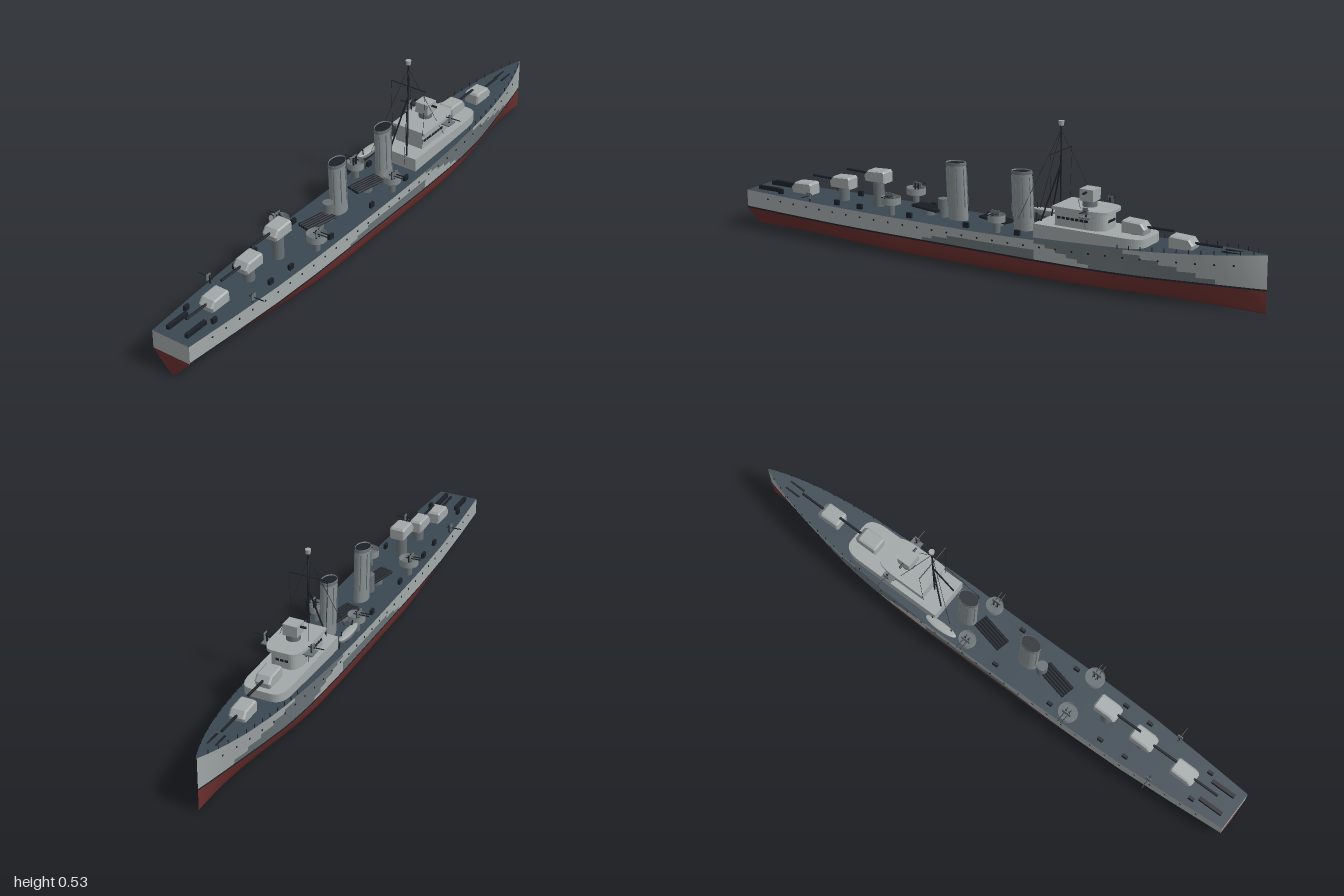
import * as THREE from 'three';
import { mergeVertices } from 'three/addons/utils/BufferGeometryUtils.js';

const paint = (name, color, side = THREE.FrontSide) => {
  const m = new THREE.MeshStandardMaterial({ color, side });
  m.name = name;
  return m;
};
const V = (x, y, z) => new THREE.Vector3(x, y, z);
const mix = THREE.MathUtils.lerp;
const smooth = THREE.MathUtils.smoothstep;

// Half breadth of the deck and its sheer, along z (bow at -1)
const PLAN = [[-1, 0.002], [-0.95, 0.022], [-0.88, 0.043], [-0.8, 0.062], [-0.7, 0.078], [-0.6, 0.089],
  [-0.4, 0.1], [-0.2, 0.105], [0.4, 0.105], [0.6, 0.1], [0.8, 0.088], [1, 0.073]];
function breadth(z) {
  const i = Math.max(1, PLAN.findIndex(p => p[0] >= z));
  const [a, b] = [PLAN[i - 1], PLAN[i]];
  return mix(a[1], b[1], (z - a[0]) / (b[0] - a[0]));
}
const deckY = z => 0.14 + 0.052 * Math.pow(Math.max(0, 0.05 - z) / 1.05, 1.6);

export function createModel() {
  const light = paint('lightGrey', 0xa2a8a8);
  const mid = paint('midGrey', 0x687175);
  const deck = paint('deckBlueGrey', 0x3a4751);
  const red = paint('bottomRed', 0x6a302e);
  const dark = paint('nearBlack', 0x1c2128, THREE.DoubleSide);
  const steel = paint('funnelGrey', 0x868e90, THREE.DoubleSide);

  const ship = new THREE.Group();
  ship.name = 'warship';
  const add = (name, geo, mat, x = 0, y = 0, z = 0, parent = ship) => {
    const m = new THREE.Mesh(geo, mat);
    m.name = name;
    m.position.set(x, y, z);
    parent.add(m);
    return m;
  };
  const box = (name, mat, w, h, d, x, y, z, parent) => add(name, new THREE.BoxGeometry(w, h, d), mat, x, y, z, parent);
  const drum = (name, mat, r, h, x, y, z, parent) => add(name, new THREE.CylinderGeometry(r, r, h, 20), mat, x, y, z, parent);
  const rod = (name, mat, a, b, r, parent) => {
    const m = add(name, new THREE.CylinderGeometry(r, r, a.distanceTo(b), 6), mat, 0, 0, 0, parent);
    m.position.copy(a).add(b).multiplyScalar(0.5);
    m.quaternion.setFromUnitVectors(V(0, 1, 0), b.clone().sub(a).normalize());
    return m;
  };

  // Hull sections: keel to waterline, boot topping, then painted sides
  const FULL = [[0, 0], [0.4, 0.06], [0.7, 0.14], [0.86, 0.32], [0.96, 0.6], [1, 0.93]];
  const WL = 0.08, SIDE = 6, ROWS = FULL.length + 1 + SIDE;
  function hullPoint(z, k) {
    const b = breadth(z), top = deckY(z);
    const flare = 1 - 0.4 * smooth(-z, 0.45, 1);
    const vee = Math.max(smooth(z, 0.25, 1), 0.85 * smooth(-z, 0.3, 1));
    if (k < FULL.length) {
      const [fx, fy] = FULL[k];
      return V(b * flare * mix(fx, Math.pow(fy / 0.93, 0.85), vee), fy * WL, z);
    }
    const t = (k - FULL.length) / SIDE;
    return V(b * mix(flare, 1, t), mix(WL, top, t), z);
  }
  // Dazzle patches on the sides
  function sidePaint(z, t) {
    const fore = z < -0.2 - 0.25 * (1 - t) && z > -0.52 - 0.35 * (1 - t);
    const aft = z < 0.25 - 0.3 * t && z > -0.22 && t < 0.45;
    return fore || aft ? 'mid' : 'light';
  }
  const skins = { red: [], boot: [], light: [], mid: [], deck: [] };
  const quad = (skin, a, b, c, d) => {
    for (const p of [a, b, c, a, c, d]) skins[skin].push(p.x, p.y, p.z);
  };
  const mirror = p => V(-p.x, p.y, p.z);
  const N = 100;
  for (let i = 0; i < N; i++) {
    const z0 = -1 + 2 * i / N, z1 = z0 + 2 / N;
    for (let k = 0; k < ROWS - 1; k++) {
      const [a, b, c, d] = [hullPoint(z0, k), hullPoint(z0, k + 1), hullPoint(z1, k + 1), hullPoint(z1, k)];
      const t = (k - FULL.length + 0.5) / SIDE;
      const skin = k < FULL.length - 1 ? 'red' : k < FULL.length ? 'boot' : sidePaint((z0 + z1) / 2, t);
      quad(skin, a, b, c, d);
      quad(skin, mirror(d), mirror(c), mirror(b), mirror(a));
    }
    const p = hullPoint(z0, ROWS - 1), q = hullPoint(z1, ROWS - 1);
    quad('deck', mirror(p), mirror(q), q, p);
  }
  for (const [name, mat] of [['red', red], ['boot', dark], ['light', light], ['mid', mid], ['deck', deck]]) {
    let g = new THREE.BufferGeometry();
    g.setAttribute('position', new THREE.Float32BufferAttribute(skins[name], 3));
    g = mergeVertices(g, 1e-6);
    g.computeVertexNormals();
    add(name === 'deck' ? 'mainDeck' : name + 'HullSkin', g, mat);
  }
  // Transom
  const flat = (name, mat, k0, k1) => {
    const right = [];
    for (let k = k0; k <= k1; k++) right.push(hullPoint(1, k));
    const pts = [...right, ...right.slice().reverse().map(mirror)].map(p => new THREE.Vector2(p.x, p.y));
    add(name, new THREE.ShapeGeometry(new THREE.Shape(pts)), mat, 0, 0, 1);
  };
  flat('transomBottom', red, 0, FULL.length - 1);
  flat('transomTop', light, FULL.length - 1, ROWS - 1);

  // Portholes and rail posts down both sides
  for (const s of [-1, 1]) {
    for (let z = -0.9; z < 0.96; z += 0.06) {
      const p = hullPoint(z, ROWS - 3);
      const port = add('porthole', new THREE.CylinderGeometry(0.0035, 0.0035, 0.003, 8), dark, s * p.x, p.y, z);
      port.rotation.z = Math.PI / 2;
    }
    for (let z = -0.96; z < -0.5; z += 0.04)
      box('railPost', dark, 0.002, 0.014, 0.002, s * breadth(z) * 0.97, deckY(z) + 0.007, z);
  }

  // Deckhouse and bridge with rounded fronts
  const house = (name, mat, w, zf, zb, r, y0, y1) => {
    const s = new THREE.Shape();
    s.moveTo(-w, -zb);
    s.lineTo(w, -zb);
    s.lineTo(w, -zf - r);
    s.quadraticCurveTo(w, -zf, w * 0.45, -zf);
    s.lineTo(-w * 0.45, -zf);
    s.quadraticCurveTo(-w, -zf, -w, -zf - r);
    const g = new THREE.ExtrudeGeometry(s, { depth: y1 - y0, bevelEnabled: false, curveSegments: 8 });
    g.rotateX(-Math.PI / 2);
    return add(name, g, mat, 0, y0, 0);
  };
  house('forwardDeckhouse', light, 0.076, -0.6, -0.2, 0.07, 0.13, 0.193);
  house('bridge', light, 0.055, -0.45, -0.27, 0.07, 0.193, 0.25);
  house('bridgeRoof', light, 0.067, -0.465, -0.265, 0.08, 0.25, 0.26);
  for (const s of [-1, 1])
    for (let i = 0; i < 7; i++) box('bridgeWindow', dark, 0.004, 0.008, 0.012, s * 0.0555, 0.222, -0.285 - i * 0.017);
  for (let i = -1; i <= 1; i++) box('frontWindow', dark, 0.012, 0.008, 0.004, i * 0.016, 0.222, -0.45);

  // Gun director with rangefinder arms
  drum('directorBase', mid, 0.024, 0.02, 0, 0.27, -0.37);
  box('director', light, 0.052, 0.04, 0.05, 0, 0.3, -0.37);
  rod('rangefinder', dark, V(-0.046, 0.31, -0.37), V(0.046, 0.31, -0.37), 0.004);

  // Main guns: sloped shields, pedestals and barrels
  const side = new THREE.Shape();
  [[-0.042, 0], [0.04, 0], [0.046, 0.02], [0.03, 0.04], [-0.036, 0.043], [-0.042, 0.036]]
    .forEach(([a, b], i) => (i ? side.lineTo(a, b) : side.moveTo(a, b)));
  const shield = new THREE.ExtrudeGeometry(side, { depth: 0.044, bevelSize: 0.004, bevelThickness: 0.006, bevelOffset: -0.004, bevelSegments: 1 });
  shield.translate(0, 0, -0.022);
  shield.rotateY(-Math.PI / 2);
  for (const [z, y, aft] of [[-0.71, 0.168, 0], [-0.54, 0.195, 0], [0.47, 0.228, 1], [0.62, 0.186, 1], [0.79, 0.142, 1]]) {
    const gun = new THREE.Group();
    gun.name = 'mainGun';
    gun.position.set(0, y, z);
    gun.rotation.y = aft ? 0 : Math.PI;
    ship.add(gun);
    add('gunShield', shield, light, 0, 0, 0, gun);
    rod('gunBarrel', dark, V(0, 0.024, 0.035), V(0, 0.026, 0.135), 0.0045, gun);
    const h = y - deckY(z) + 0.005;
    drum('gunPedestal', mid, 0.02, h, 0, -h / 2 + 0.002, 0, gun);
  }

  // Raked oval funnels with dark mouths and steam pipes
  for (const [z, top] of [[-0.115, 0.345], [0.145, 0.34]]) {
    const f = new THREE.Group();
    f.name = 'funnel';
    f.position.set(0, 0.135, z - 0.006);
    f.rotation.x = 0.05;
    ship.add(f);
    const h = top - 0.135;
    const oval = (name, r, len, y, mat, open) => {
      const m = add(name, new THREE.CylinderGeometry(r, r, len, 28, 1, open), mat, 0, y, 0, f);
      m.scale.z = 1.5;
    };
    oval('funnelCasing', 0.0245, h, h / 2, steel, true);
    oval('funnelCap', 0.0262, 0.01, h - 0.006, mid, true);
    oval('funnelMouth', 0.0238, 0.004, h - 0.006, dark, false);
    for (let i = 0; i < 8; i++) {
      const a = i * Math.PI / 4 + 0.39;
      rod('steamPipe', mid, V(Math.cos(a) * 0.0255, 0.05, Math.sin(a) * 0.038), V(Math.cos(a) * 0.0255, h - 0.02, Math.sin(a) * 0.038), 0.0016, f);
    }
  }

  // Tripod mast, yard and rigging
  const mz = -0.26;
  rod('mast', dark, V(0, 0.19, mz), V(0, 0.52, mz), 0.0032);
  add('mastheadLantern', new THREE.CylinderGeometry(0.01, 0.008, 0.016, 12), light, 0, 0.523, mz);
  rod('yard', dark, V(-0.07, 0.431, mz), V(0.07, 0.431, mz), 0.0018);
  for (const s of [-1, 1]) {
    rod('mastLeg', dark, V(0, 0.385, mz), V(s * 0.035, 0.19, -0.205), 0.0028);
    rod('foreStay', dark, V(0, 0.5, mz), V(s * 0.065, 0.2, -0.39), 0.0007);
    rod('backStay', dark, V(0, 0.5, mz), V(s * 0.07, 0.2, -0.14), 0.0007);
    rod('halyard', dark, V(s * 0.07, 0.431, mz), V(s * 0.062, 0.22, mz), 0.0006);
  }

  // Torpedo tube banks, trained slightly off centre
  for (const z of [-0.015, 0.26]) {
    const bank = new THREE.Group();
    bank.name = 'torpedoTubes';
    bank.position.set(0, 0.158, z);
    bank.rotation.y = -0.22;
    ship.add(bank);
    drum('turntable', mid, 0.022, 0.02, 0, -0.008, 0, bank);
    for (let i = -2; i <= 2; i++)
      rod('torpedoTube', dark, V(i * 0.0105, 0.006, -0.06), V(i * 0.0105, 0.006, 0.06), 0.0058, bank);
  }
  drum('searchlightTower', mid, 0.019, 0.065, 0, 0.172, 0.2);

  // Light anti-aircraft guns
  const lightGun = (x, y, z, s) => {
    rod('lightGunMount', dark, V(x, y - 0.02, z), V(x, y + 0.01, z), 0.003);
    rod('lightGunBarrel', dark, V(x - s * 0.012, y, z), V(x + s * 0.045, y + 0.003, z), 0.0018);
    box('lightGunShield', mid, 0.003, 0.022, 0.02, x + s * 0.006, y + 0.002, z);
  };
  for (const s of [-1, 1]) {
    for (const [z, r] of [[0.365, 0.034], [-0.06, 0.03]]) {
      const tub = add('gunTub', new THREE.CylinderGeometry(r, r, 0.024, 20, 1, true), steel, s * 0.076, 0.192, z);
      drum('tubFloor', mid, r, 0.003, 0, -0.011, 0, tub);
      drum('tubPedestal', mid, 0.012, 0.045, 0, -0.033, 0, tub);
      for (const d of [-0.007, 0.007]) lightGun(s * 0.08, 0.207, z + d, s);
    }
    lightGun(s * 0.08, 0.264, -0.4, s);
    box('bridgeWing', mid, 0.035, 0.004, 0.04, s * 0.075, 0.243, -0.4);
    lightGun(s * 0.085, 0.16, 0.71, s);
    // Stern racks and deck lockers
    box('depthChargeRack', dark, 0.013, 0.014, 0.09, s * 0.037, 0.147, 0.925);
    for (const z of [-0.14, 0.06, 0.29, 0.5, 0.6, 0.86])
      box('deckLocker', dark, 0.01, 0.018, 0.02, s * (breadth(z) - 0.028), deckY(z) + 0.009, z);
    box('anchorChain', dark, 0.006, 0.004, 0.06, s * 0.014, deckY(-0.88) + 0.001, -0.88);
  }

  // Ship's boat on the right side
  const boat = new THREE.SphereGeometry(1, 16, 10, 0, Math.PI * 2, Math.PI / 2, Math.PI / 2);
  add('boatHull', boat, steel, -0.094, 0.193, -0.16).scale.set(0.016, 0.024, 0.065);
  add('boatCover', new THREE.SphereGeometry(1, 16, 6, 0, Math.PI * 2, 0, Math.PI / 2), light, -0.094, 0.193, -0.16).scale.set(0.016, 0.005, 0.065);
  for (const z of [-0.2, -0.12]) rod('boatDavit', dark, V(-0.078, 0.14, z), V(-0.09, 0.215, z), 0.002);

  return ship;
}
